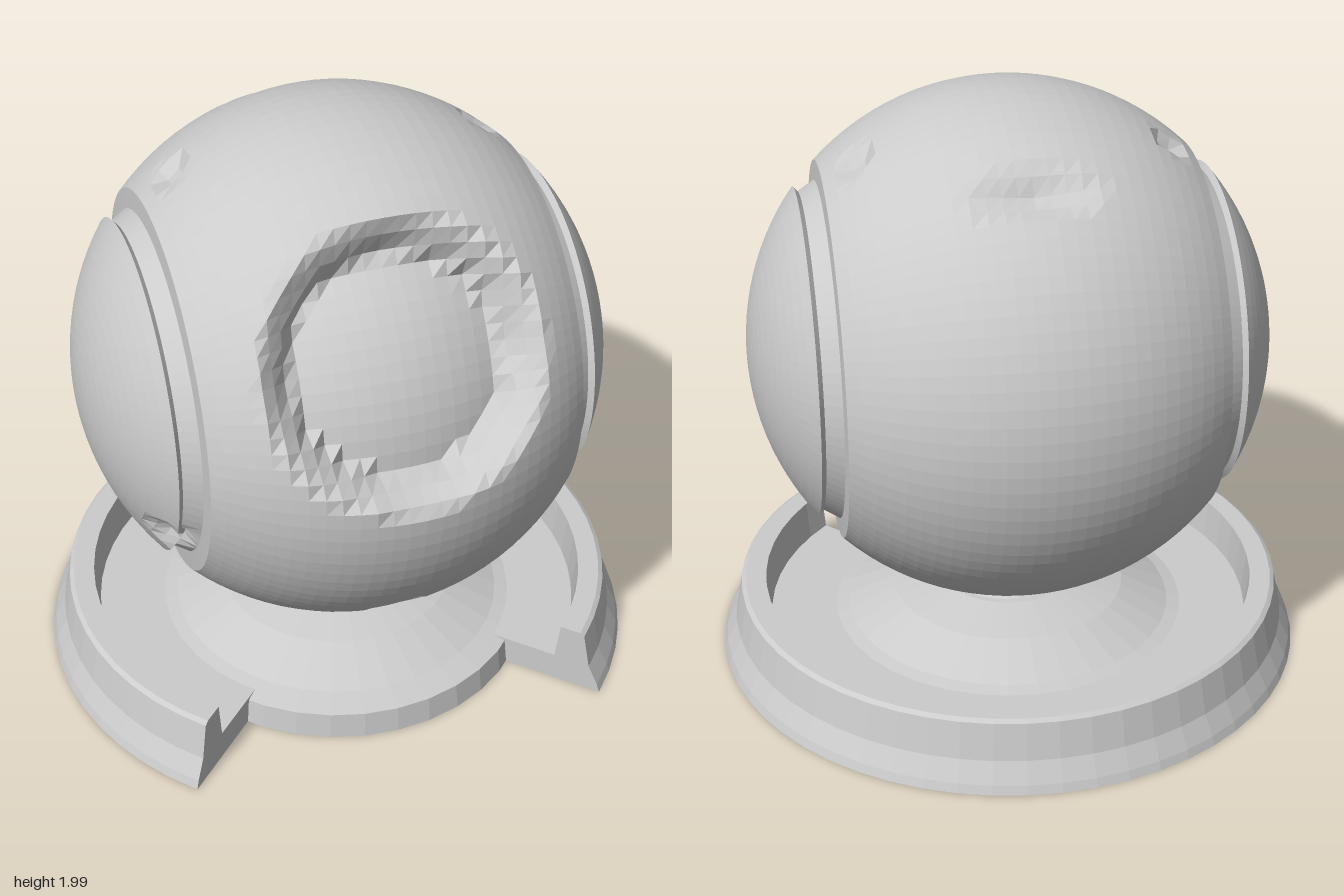
import * as THREE from 'three';

const material = new THREE.MeshStandardMaterial({ color: 0xcccccc, flatShading: true });
const twoSided = new THREE.MeshStandardMaterial({ color: 0xcccccc, flatShading: true, side: THREE.DoubleSide });
const CENTRE_Z = 0.067;
const R = 0.863;

const toPoints = (pairs) => pairs.map(([x, y]) => new THREE.Vector2(x, y));

function addMesh(parent, name, geometry, mat = material) {
  const mesh = new THREE.Mesh(geometry, mat);
  mesh.name = name;
  parent.add(mesh);
  return mesh;
}

// Sphere turned about the x axis, with a stepped groove around each side cap
function ballProfile() {
  const half = [];
  const capAngle = Math.acos(0.675 / R);
  const bandAngle = Math.acos(0.6 / R);
  for (let i = 0; i <= 13; i++) {
    const a = (capAngle * i) / 13;
    half.push([R * Math.sin(a), R * Math.cos(a)]);
  }
  half.push([0.52, 0.66], [0.555, 0.605]);
  for (let i = 0; i <= 13; i++) {
    const a = bandAngle + ((Math.PI / 2 - bandAngle) * i) / 13;
    half.push([R * Math.sin(a), R * Math.cos(a)]);
  }
  const mirrored = half.map(([r, x]) => [r, -x]);
  return toPoints([...mirrored, ...half.reverse().slice(1)]);
}

// Height of the window surface along its axis, by distance from that axis
function windowHeight(rho) {
  if (rho > 0.36) return THREE.MathUtils.mapLinear(rho, 0.36, 0.44, 0.675, 0.738);
  if (rho > 0.335) return THREE.MathUtils.mapLinear(rho, 0.335, 0.36, 0.615, 0.675);
  return Math.sqrt(0.7 * 0.7 - rho * rho);
}

function ballGeometry() {
  const geometry = new THREE.LatheGeometry(ballProfile(), 96);
  geometry.rotateZ(-Math.PI / 2);

  // Small notches: centre, then half size along x and across
  const notches = [
    [0, 0.71, -0.49, 0.23, 0.1],
    [0, -0.61, 0.61, 0.1, 0.08],
  ];
  for (const s of [-1, 1]) {
    notches.push([s * 0.5, 0.68, -0.11, 0.07, 0.08], [s * 0.69, -0.29, 0.42, 0.09, 0.09]);
  }

  const axis = new THREE.Vector3(0, 0.488, 0.873).normalize();
  const position = geometry.attributes.position;
  const p = new THREE.Vector3();
  for (let i = 0; i < position.count; i++) {
    p.fromBufferAttribute(position, i);
    // Tilted front window: flat cut, sloping rim and a domed lens
    const d = p.dot(axis);
    const rho = Math.sqrt(Math.max(0, p.lengthSq() - d * d));
    if (d > 0 && rho < 0.44) p.addScaledVector(axis, windowHeight(rho) - d);
    for (const [x, y, z, sx, s] of notches) {
      const q = Math.hypot((p.x - x) / sx, (p.y - y) / s, (p.z - z) / s);
      if (q < 1) p.multiplyScalar(1 - 0.07 * (1 - q));
    }
    position.setXYZ(i, p.x, p.y, p.z);
  }
  geometry.computeVertexNormals();
  return geometry;
}

export function createModel() {
  const model = new THREE.Group();
  model.name = 'displayBall';
  const body = new THREE.Group();
  body.name = 'body';
  body.position.z = CENTRE_Z;
  model.add(body);

  addMesh(body, 'ball', ballGeometry()).position.y = 1.126;

  // Flared neck under the ball
  addMesh(body, 'neck', new THREE.LatheGeometry(
    toPoints([[0.25, 0.2], [0.21, 0.235], [0.22, 0.27], [0.26, 0.33]]), 20), twoSided);

  // Domed centre of the stand
  addMesh(body, 'standDome', new THREE.LatheGeometry(
    toPoints([[0, 0], [0.66, 0], [0.65, 0.09], [0.56, 0.11], [0.4, 0.185], [0.24, 0.225], [0, 0.235]]), 36));

  // Raised rim of the stand, open for a quarter turn at the front
  const rim = [[0.6, 0], [1, 0], [0.99, 0.03], [0.955, 0.1], [0.93, 0.225], [0.915, 0.235],
    [0.845, 0.235], [0.83, 0.1], [0.6, 0.1], [0.6, 0]];
  addMesh(body, 'standRim', new THREE.LatheGeometry(toPoints(rim), 42, Math.PI / 4, Math.PI * 1.5));
  for (const side of [-1, 1]) {
    const end = addMesh(body, side > 0 ? 'leftRimEnd' : 'rightRimEnd',
      new THREE.ShapeGeometry(new THREE.Shape(toPoints(rim.slice(0, -1)))), twoSided);
    end.rotation.y = (side * Math.PI) / 4 - Math.PI / 2;
  }
  return model;
}
